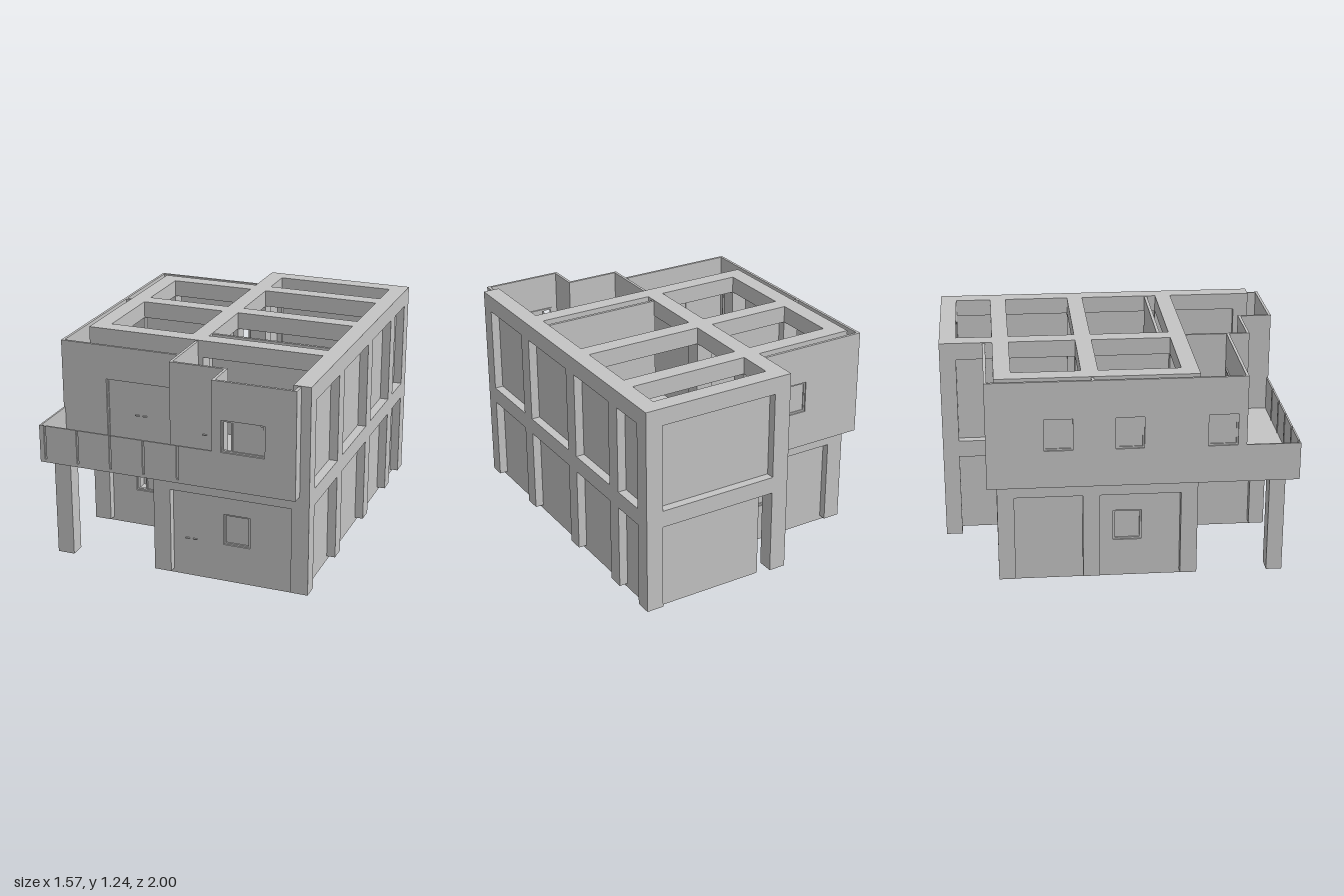
import * as THREE from 'three';

export function createModel() {
  const house = new THREE.Group();
  house.name = 'house';
  const grey = new THREE.MeshStandardMaterial({ color: 0xc4c4c4, side: THREE.DoubleSide });
  grey.name = 'concrete grey';

  function add(name, geometry) {
    const mesh = new THREE.Mesh(geometry, grey);
    mesh.name = name;
    house.add(mesh);
  }
  // Box given by its two extreme corners
  function box(name, x0, x1, y0, y1, z0, z1) {
    const g = new THREE.BoxGeometry(x1 - x0, y1 - y0, z1 - z0);
    g.translate((x0 + x1) / 2, (y0 + y1) / 2, (z0 + z1) / 2);
    add(name, g);
  }
  const rect = (Type, a0, a1, b0, b1) => new Type([[a0, b0], [a1, b0], [a1, b1], [a0, b1]]
    .map(([a, b]) => new THREE.Vector2(a, b)));
  const polygon = pts => new THREE.Shape(pts.map(([a, b]) => new THREE.Vector2(a, b)));

  // Upright plate: normal 'z' runs along x, normal 'x' runs along z
  function plate(name, shape, normal, at, t) {
    const g = new THREE.ExtrudeGeometry(shape, { depth: t, bevelEnabled: false });
    if (normal === 'z') g.translate(0, 0, at);
    else g.rotateY(-Math.PI / 2).translate(at + t, 0, 0);
    add(name, g);
  }
  // Horizontal slab from an outline in x and z
  function slab(name, shape, y0, y1) {
    const g = new THREE.ExtrudeGeometry(shape, { depth: y1 - y0, bevelEnabled: false });
    g.rotateX(Math.PI / 2).translate(0, y1, 0);
    add(name, g);
  }
  // Wall with framed holes; an opening is [a0, a1, y0, y1, side of the open sash (-1, 0, 1)]
  function wall(name, normal, at, t, a0, a1, y0, y1, openings = []) {
    const shape = rect(THREE.Shape, a0, a1, y0, y1);
    const inward = at > 0 ? -1 : 1, b = 0.01;
    const frameAt = at + inward * 0.008;
    for (const [w0, w1, v0, v1, sash] of openings) {
      shape.holes.push(rect(THREE.Path, w0, w1, v0, v1));
      const frame = rect(THREE.Shape, w0, w1, v0, v1);
      frame.holes.push(rect(THREE.Path, w0 + b, w1 - b, v0 + b, v1 - b));
      plate('openingFrame', frame, normal, frameAt, t);
      let p0 = w0 + b, p1 = w1 - b;
      if (sash) {
        const m = sash < 0 ? w0 + 0.06 : w1 - 0.06;
        plate('windowMullion', rect(THREE.Shape, m - 0.004, m + 0.004, v0 + b, v1 - b), normal, frameAt, t);
        if (sash < 0) p0 = m; else p1 = m;
      }
      plate('openingPane', rect(THREE.Shape, p0, p1, v0 + b, v1 - b), normal, frameAt + t / 2 - 0.002, 0.004);
    }
    plate(name, shape, normal, at, t);
  }

  // Structural grid: outer edges of each column line
  const X = [[-0.735, -0.635], [-0.125, -0.025], [0.685, 0.785]];
  const Z = [[-1, -0.905], [-0.695, -0.6], [-0.215, -0.12], [0.34, 0.435], [0.84, 0.93]];
  const BASE = 0.025, MID = 0.63, TOP = 1.24, UP = [0.83, 1.015], LOW = [0.225, 0.41];

  // Ground slab inside the lower walls
  slab('groundSlab', polygon([[-0.665, -0.63], [0.05, -0.63], [0.05, -0.93], [0.715, -0.93],
    [0.715, 0.865], [-0.055, 0.865], [-0.055, 0.365], [-0.665, 0.365]]), 0, BASE);

  // Columns, with the front ones under the balcony stopping at its floor
  X.forEach(([x0, x1], i) => Z.forEach(([z0, z1], j) => {
    if (i === 0 && j === 0) return;
    const top = j === 4 && i < 2 ? 0.615 : TOP;
    box('column', x0, x1, BASE, top, z0, z1);
  }));

  // Beams on both levels
  for (const [y0, y1] of [[0.53, MID - 0.001], [1.14, TOP]]) {
    const lower = y0 < 1;
    Z.forEach(([z0, z1], j) => {
      if (j > 0 && j < 4) box('crossBeam', X[0][1], X[1][0], y0, y1, z0, z1);
      if (j < 4 || lower) box('crossBeam', X[1][1], X[2][0], y0, y1, z0, z1);
    });
    X.forEach(([x0, x1], i) => {
      for (let j = i === 0 ? 1 : 0; j < 4; j++) {
        if (j === 3 && (i === 0 || (i === 1 && !lower))) continue;
        box('longBeam', x0, x1, y0, y1, Z[j][1], Z[j + 1][0]);
      }
    });
  }

  // Upper floor with balcony and stair opening
  const floor = polygon([[-0.785, -0.75], [-0.125, -0.75], [-0.125, -0.95], [0.73, -0.95],
    [0.73, 1], [-0.785, 1]]);
  floor.holes.push(rect(THREE.Path, 0.24, 0.685, -0.1, 0.27));
  slab('upperFloor', floor, 0.61, MID);

  // Infill walls on the column centre lines, running down to the ground
  for (const [y0, y1] of [[0, 0.54], [MID, 1.15]]) {
    wall('rightWall', 'x', 0.715, 0.02, -0.95, 0.885, y0, y1);
  }
  wall('lowerBackWall', 'z', -0.95, 0.02, 0.03, 0.735, 0, 0.54);
  wall('lowerBackReturnWall', 'x', 0.03, 0.02, -0.95, -0.63, 0, 0.54);
  wall('upperBackRightWall', 'z', -0.95, 0.02, -0.075, 0.735, MID, 1.15);
  wall('upperBackReturnWall', 'x', -0.075, 0.02, -0.95, -0.65, MID, 1.15);
  wall('lowerBackLeftWall', 'z', -0.65, 0.02, -0.685, 0.05, 0, 0.54, [[-0.31, -0.15, ...LOW, 0]]);
  wall('lowerLeftWall', 'x', -0.685, 0.02, -0.65, 0.385, 0, 0.54, [[-0.04, 0.12, ...LOW, 0]]);
  wall('lowerFrontLeftWall', 'z', 0.365, 0.02, -0.685, -0.055, 0, 0.54, [[-0.48, -0.225, ...LOW, -1]]);
  wall('lowerPorchWall', 'x', -0.075, 0.02, 0.365, 0.885, 0, 0.54);
  wall('lowerFrontWall', 'z', 0.865, 0.02, -0.075, 0.735, 0, 0.54, [[0.275, 0.43, ...LOW, 0]]);

  // Overhanging upper walls
  const H = [0.61, 1.235], T = 0.016;
  wall('upperLeftWall', 'x', -0.785, T, -0.75, 0.695, ...H,
    [[-0.43, -0.27, ...UP, 0], [-0.035, 0.125, ...UP, 0], [0.48, 0.645, ...UP, 0]]);
  wall('upperBackWall', 'z', -0.75, T, -0.785, -0.125, ...H, [[-0.415, -0.175, ...UP, 1]]);
  wall('upperFrontLeftWall', 'z', 0.679, T, -0.785, -0.07, ...H, [[-0.51, -0.1, MID, 1.035, 0]]);
  wall('upperStepWall', 'x', -0.07, T, 0.43, 0.815, ...H);
  wall('upperBalconyWall', 'z', 0.799, T, -0.07, 0.268, ...H);
  wall('upperStepWall', 'x', 0.252, T, 0.799, 1, ...H);
  wall('upperFrontWall', 'z', 0.984, T, 0.252, 0.73, ...H, [[0.305, 0.555, ...UP, -1]]);
  wall('upperCornerWall', 'x', 0.714, T, 0.92, 1, ...H);

  // Interior partitions
  wall('stairPartition', 'z', 0.272, 0.018, -0.03, 0.69, MID, 1.235);
  wall('stairSideWall', 'x', -0.07, T, -0.13, 0.35, MID, 1.15);
  wall('leftPartition', 'z', -0.166, T, -0.77, -0.12, MID, 1.235);

  // Door handles
  for (const [x, y, z] of [[-0.325, 0.837, 0.684], [-0.28, 0.837, 0.684], [0.138, 0.837, 0.815],
    [0.06, 0.23, 0.885], [0.105, 0.23, 0.885]]) {
    box('doorHandle', x - 0.012, x + 0.012, y - 0.003, y + 0.003, z, z + 0.008);
  }

  // Balcony parapet: panels separated by narrow recessed posts
  let left = -0.785;
  for (const x of [-0.752, -0.552, -0.352, -0.152, 0.05, 0.252]) {
    const last = x > 0.2, edge = last ? x : x - 0.006;
    box('balconyPanel', left, edge, MID, 0.83, 0.99, 1);
    if (!last) box('balconyPost', x - 0.006, x + 0.006, MID, 0.825, 0.986, 0.993);
    left = x + 0.006;
  }
  box('balconySidePanel', -0.785, -0.775, MID, 0.83, 0.695, 0.99);

  // Two stair flights with a landing between them
  const STEPS = 8, run = 0.3 / STEPS, rise = 0.302 / STEPS;
  for (let i = 0; i < STEPS; i++) {
    const x = 0.24 + i * run, y = BASE + (i + 1) * rise;
    box('lowerStep', x, x + run, y - rise, y, 0.1, 0.255);
    const u = 0.54 - i * run, v = 0.327 + (i + 1) * rise;
    box('upperStep', u - run, u, v - rise, v, -0.085, 0.07);
  }
  box('stairLanding', 0.54, 0.69, 0.3, 0.327, -0.1, 0.27);

  // Sloping stair strings
  function stairString(z0, z1, yA, yB) {
    plate('stairString', polygon([[0.24, yA - 0.03], [0.545, yB - 0.03], [0.545, yB + 0.1], [0.24, yA + 0.1]]),
      'z', z0, z1 - z0);
  }
  stairString(-0.1, -0.085, 0.63, 0.33);
  stairString(0.07, 0.083, 0.63, 0.33);
  stairString(0.087, 0.1, 0.055, 0.33);
  stairString(0.255, 0.27, 0.055, 0.33);

  return house;
}
